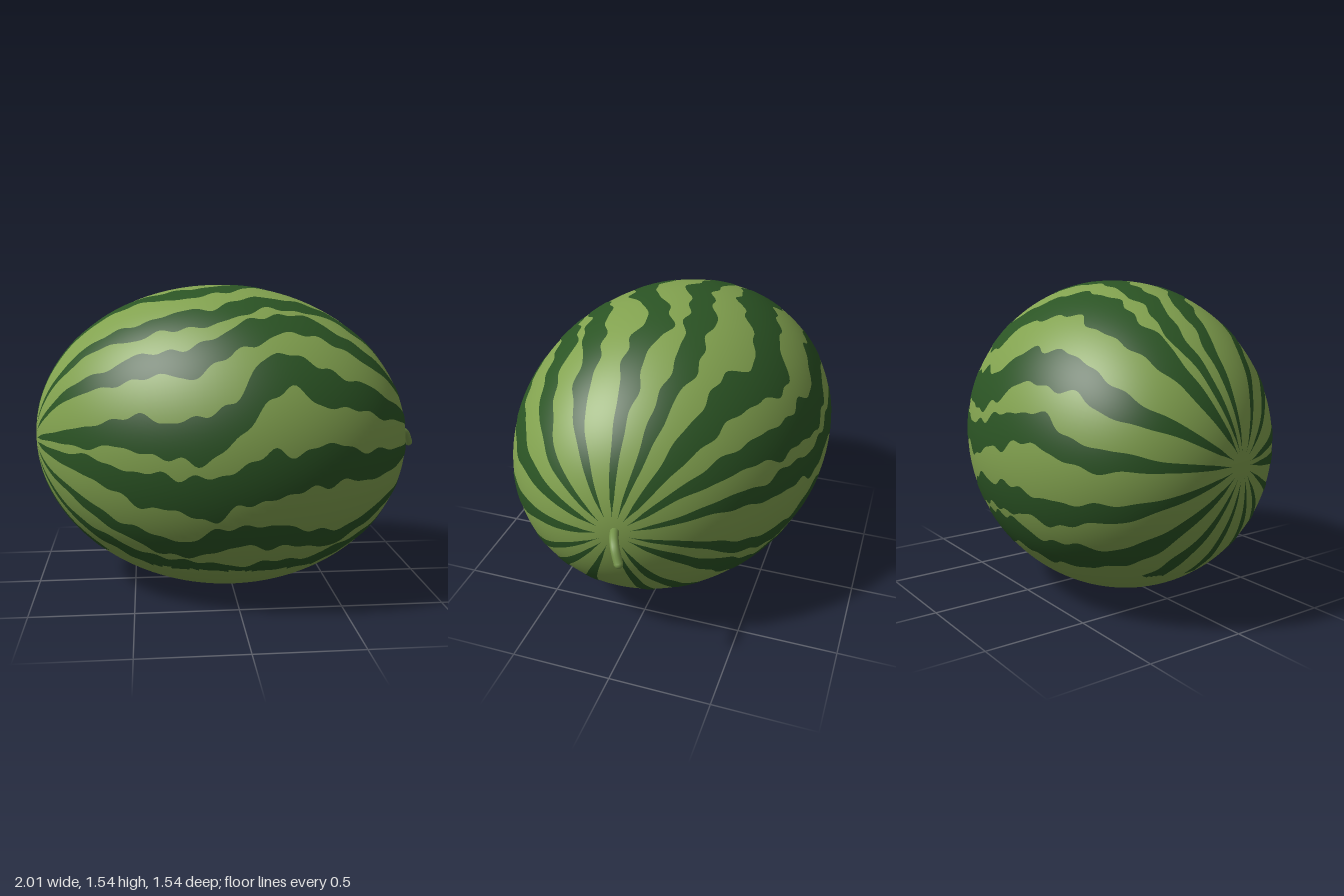
import * as THREE from 'three';

const rind = new THREE.MeshStandardMaterial({ color: 0x82a24f });
rind.name = 'light green rind';
const dark = new THREE.MeshStandardMaterial({ color: 0x2b5424 });
dark.name = 'dark green stripe';
const stalk = new THREE.MeshStandardMaterial({ color: 0x75944a });
stalk.name = 'stem green';

// Half length, height and depth of the melon, its slant in z, and its centre
const A = 0.94, B = 0.768, C = 0.757, SLANT = 0.12;
const CENTRE = new THREE.Vector3(-0.06, 0.77, 0);
const rad = THREE.MathUtils.degToRad;

// Slanted ellipsoid: theta runs from the stem end, phi (degrees) from the top toward the front
function surface(theta, phi, lift = 0) {
  const p = new THREE.Vector3(
    A * Math.cos(theta),
    B * Math.sin(theta) * Math.cos(rad(phi)),
    C * Math.sin(theta) * Math.sin(rad(phi)));
  p.divideScalar(Math.hypot(p.x / A, p.y / B, (p.z - SLANT * p.x) / C));
  const zz = (p.z - SLANT * p.x) / (C * C);
  const n = new THREE.Vector3(p.x / (A * A) - SLANT * zz, p.y / (B * B), zz).normalize();
  return { p: p.addScaledVector(n, lift).add(CENTRE), n };
}

// Grid patch on the surface; quads lower than minY are left out
function patch(rows, cols, at, minY = -1) {
  const pos = [], nor = [], idx = [];
  for (let i = 0; i <= rows; i++) {
    for (let j = 0; j <= cols; j++) {
      const { p, n } = at(i / rows, j / cols);
      pos.push(p.x, p.y, p.z);
      nor.push(n.x, n.y, n.z);
    }
  }
  for (let i = 0; i < rows; i++) {
    for (let j = 0; j < cols; j++) {
      const a = i * (cols + 1) + j, b = a + cols + 1;
      if (pos[a * 3 + 1] < minY) continue;
      idx.push(a, b, a + 1, b, b + 1, a + 1);
    }
  }
  const g = new THREE.BufferGeometry();
  g.setAttribute('position', new THREE.Float32BufferAttribute(pos, 3));
  g.setAttribute('normal', new THREE.Float32BufferAttribute(nor, 3));
  g.setIndex(idx);
  return g;
}

// Each stripe: half width, size of the shared kink, then its angles from blossom end to stem end
const STRIPES = [
  [4.8, 7, -2, 9, 10, 3, 2],
  [4.5, 2, 28, 34, 31, 23, 26],
  [5.2, 4, 51, 53, 46, 39, 49],
  [6.8, 9, 80, 80, 71, 64, 69],
  [7.0, 2, 96, 102, 98, 92, 95],
  [4.6, 2, 120, 127, 117, 123, 119],
  [4.8, 0, 142, 137, 136],
  [5.0, 0, 160, 156],
  [4.6, 0, -176, -171],
  [5.5, 0, -154, -155],
  [6.8, 2, -132, -124, -121, -131, -122],
  [5.0, 1, -108, -105, -106, -115, -105],
  [5.2, 0, -85, -78, -86, -84, -78],
  [6.5, 0, -61, -56, -69, -65, -55],
  [7.8, 6, -31, -28, -39, -39, -36],
  [4.6, 2, -17, -9, -10, -16, -16],
];

// Wavy ribbon lying just above the rind, thinning toward both ends
function stripe([half, kink, ...angles], k) {
  const curve = new THREE.SplineCurve(angles.map((a, i) => new THREE.Vector2(i, a)));
  const angleAt = (x) => {
    const d = (x - 0.06) / 0.4;
    return curve.getPoint(THREE.MathUtils.clamp((x + 0.74) / 1.6, 0, 1)).y
      - kink * Math.sin(Math.PI * d) * Math.exp(-d * d);
  };
  return patch(180, 6, (u, v) => {
    const theta = THREE.MathUtils.lerp(0.1, Math.PI - 0.08, u);
    const x = surface(theta, angleAt(A * Math.cos(theta))).p.x - CENTRE.x;
    const s = Math.sin(theta);
    const wobble = s * (Math.sin(17 * x + k * 2.3) + 0.7 * Math.sin(37 * x + k * 4.1));
    const ragged = 1 + s * (0.13 * Math.sin(23 * x + k * 5.7) + 0.1 * Math.sin(51 * x + k));
    const width = half * ragged * (0.62 + 0.45 * s * s) * Math.min(1, u * 25, (1 - u) * 25);
    return surface(theta, angleAt(x) + wobble + (v * 2 - 1) * width, 0.003);
  }, 0.22 + 0.012 * Math.sin(k * 3));
}

export function createModel() {
  const model = new THREE.Group();
  model.name = 'watermelon';
  const add = (name, geometry, material, parent = model) => {
    const mesh = new THREE.Mesh(geometry, material);
    mesh.name = name;
    parent.add(mesh);
    return mesh;
  };

  // Rind
  add('rind', patch(96, 144, (u, v) => surface(u * Math.PI, v * 360)), rind);

  // Stripes, stopping short of the plain underside
  const stripes = new THREE.Group();
  stripes.name = 'stripes';
  model.add(stripes);
  STRIPES.forEach((s, k) => add('stripe' + (k + 1), stripe(s, k), dark, stripes));

  // Curled stem with a rounded tip
  const path = new THREE.CatmullRomCurve3([
    new THREE.Vector3(0.84, 0.775, 0),
    new THREE.Vector3(0.9, 0.777, -0.017),
    new THREE.Vector3(0.95, 0.757, -0.04),
    new THREE.Vector3(0.982, 0.7, -0.068),
  ]);
  add('stem', new THREE.TubeGeometry(path, 24, 0.021, 12), stalk);
  const tip = add('stemTip', new THREE.SphereGeometry(0.0205, 12, 8), stalk);
  tip.position.copy(path.getPoint(1));

  return model;
}
